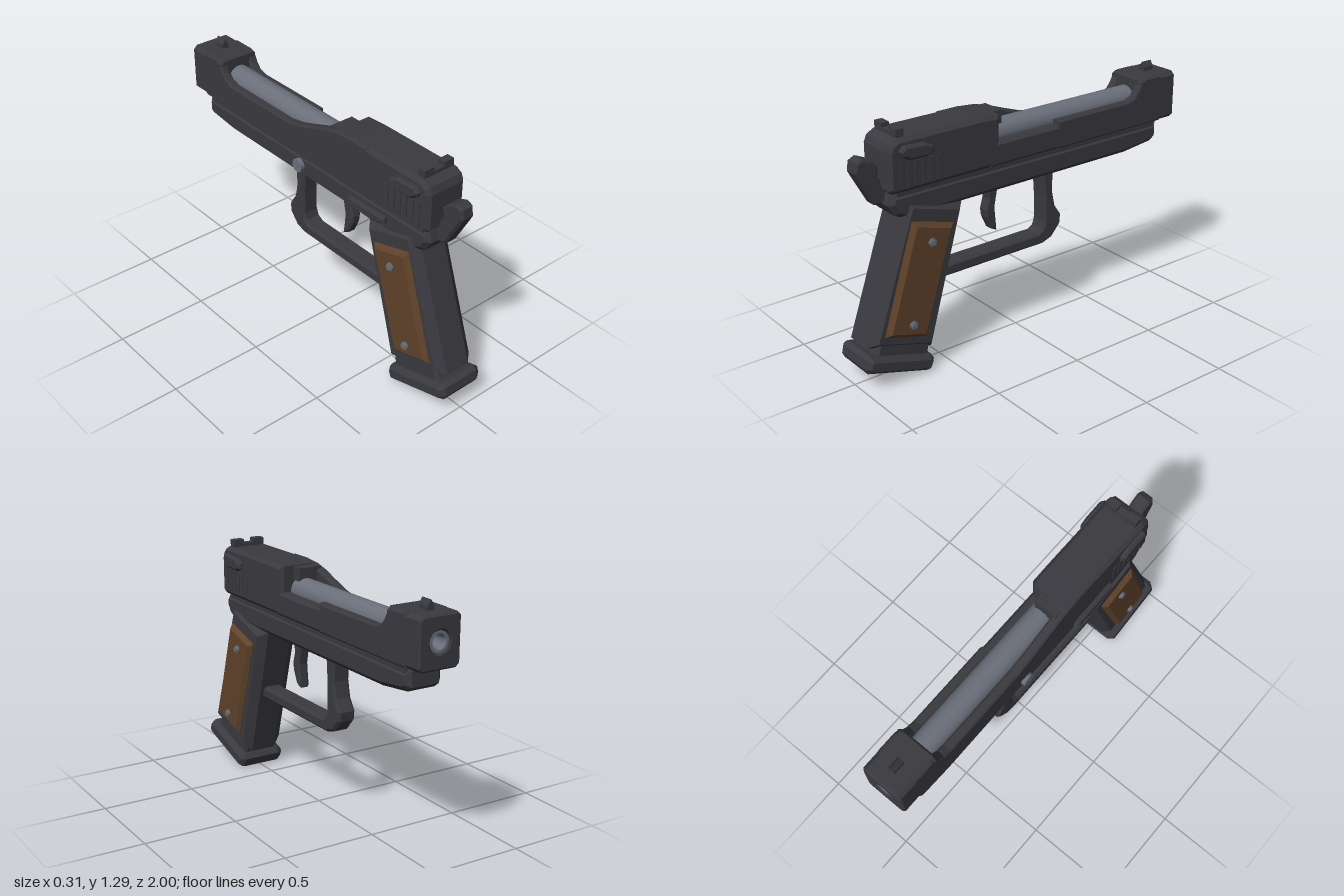
import * as THREE from 'three';

export function createModel() {
  const model = new THREE.Group();
  const mat = (name, color) => {
    const m = new THREE.MeshStandardMaterial({ color });
    m.name = name;
    return m;
  };
  const steel = mat('darkSteel', 0x3a393f);
  const metal = mat('barrelMetal', 0x6a6f7a);
  const wood = mat('gripWood', 0x5f422a);

  function add(name, geometry, material = steel) {
    const mesh = new THREE.Mesh(geometry, material);
    mesh.name = name;
    model.add(mesh);
    return mesh;
  }
  // Side outline of [z, y] points, extruded from x0 to x1 with chamfered edges
  function plate(name, points, x0, x1, bevel = 0.02, material = steel, bevelX = bevel) {
    const shape = new THREE.Shape(points.map(([z, y]) => new THREE.Vector2(z, y)));
    const depth = x1 - x0 - 2 * bevelX;
    const g = new THREE.ExtrudeGeometry(shape, {
      depth, bevelEnabled: bevel > 0, bevelSize: bevel, bevelOffset: -bevel, bevelThickness: bevelX, bevelSegments: 1,
    });
    g.translate(0, 0, -depth / 2).rotateY(-Math.PI / 2).translate((x0 + x1) / 2, 0, 0);
    return add(name, g, material);
  }
  function box(name, x0, x1, y0, y1, z0, z1, material = steel) {
    const g = new THREE.BoxGeometry(x1 - x0, y1 - y0, z1 - z0);
    g.translate((x0 + x1) / 2, (y0 + y1) / 2, (z0 + z1) / 2);
    return add(name, g, material);
  }
  // Round pin lying along x
  function pin(name, r, x0, x1, y, z) {
    const g = new THREE.CylinderGeometry(r, r, x1 - x0, 16);
    g.rotateZ(Math.PI / 2).translate((x0 + x1) / 2, y, z);
    return add(name, g, metal);
  }

  // Slide: rear block, low core, and two walls beside the barrel
  plate('slideRear', [[0.18, 0.98], [0.8, 0.98], [0.82, 1.0], [0.82, 1.19], [0.805, 1.225], [0.765, 1.247],
    [0.3, 1.247], [0.18, 1.24]], -0.115, 0.115);
  plate('slideCore', [[-0.8, 0.98], [0.24, 0.98], [0.24, 1.105], [-0.8, 1.105]], -0.115, 0.115, 0.015);
  const ramp = [[-0.66, 1.13], [-0.705, 1.145], [-0.73, 1.175], [-0.75, 1.215], [-0.78, 1.235], [-0.9, 1.235], [-0.9, 0.98]];
  plate('slideLowWall', [[-0.18, 0.98], [-0.18, 1.13], ...ramp], 0.065, 0.115, 0.01);
  plate('slideHighWall', [[0.4, 0.98], [0.4, 1.247], [0.28, 1.247], [0.18, 1.238], [0.1, 1.218], [0, 1.182],
    [-0.1, 1.148], [-0.19, 1.13], ...ramp], -0.115, -0.065, 0.01);
  box('breechBlock', -0.09, 0.04, 1.0, 1.235, 0.12, 0.25);

  // Muzzle block with a real bore
  const face = new THREE.Shape();
  const c = 0.02;
  [[-0.115 + c, 0.98], [0.115 - c, 0.98], [0.115, 0.98 + c], [0.115, 1.237 - c], [0.115 - c, 1.237],
    [-0.115 + c, 1.237], [-0.115, 1.237 - c], [-0.115, 0.98 + c]]
    .forEach(([x, y], i) => (i ? face.lineTo(x, y) : face.moveTo(x, y)));
  face.closePath();
  face.holes.push(new THREE.Path().absarc(0, 1.11, 0.052, 0, Math.PI * 2, true));
  const block = new THREE.ExtrudeGeometry(face, {
    depth: 0.235, bevelSize: 0.01, bevelOffset: -0.01, bevelThickness: 0.01, bevelSegments: 1, curveSegments: 16,
  });
  block.translate(0, 0, -0.99);
  add('muzzleBlock', block);

  // Barrel and muzzle ring
  const barrel = new THREE.CylinderGeometry(0.066, 0.066, 0.98, 24);
  barrel.rotateX(Math.PI / 2).translate(0, 1.115, -0.33);
  add('barrel', barrel, metal);
  const ring = new THREE.LatheGeometry([[0, 0], [0.032, 0], [0.032, 0.16], [0.038, 0.172], [0.052, 0.172], [0.053, 0]]
    .map(([r, y]) => new THREE.Vector2(r, y)), 24);
  ring.rotateX(-Math.PI / 2).translate(0, 1.11, -0.82);
  const muzzle = add('muzzleRing', ring.toNonIndexed(), metal);
  muzzle.geometry.computeVertexNormals();
  muzzle.material = metal.clone();
  muzzle.material.name = 'muzzleMetal';
  muzzle.material.side = THREE.DoubleSide;

  // Frame below the slide
  box('slideRail', -0.092, 0.092, 0.94, 1.0, -0.87, 0.77);
  plate('frame', [[-0.68, 0.84], [0.73, 0.84], [0.775, 0.86], [0.815, 0.92], [0.8, 0.975], [-0.9, 0.965],
    [-0.9, 0.885], [-0.87, 0.862]], -0.1, 0.1, 0.025);

  // Grip, magazine neck and base
  plate('grip', [[0.72, 0.935], [0.39, 0.838], [0.595, 0.108], [0.965, 0.22]], -0.115, 0.115, 0.035, steel, 0.045);
  plate('magazine', [[0.9, 0.26], [0.61, 0.17], [0.635, 0.05], [0.945, 0.14]], -0.1, 0.1, 0.015);
  plate('magazineBase', [[0.965, 0.19], [0.62, 0.085], [0.603, 0.055], [0.622, 0.008], [0.645, 0], [0.985, 0.102],
    [1, 0.13], [0.99, 0.175]], -0.135, 0.135, 0.022, steel, 0.03);

  // Parts mirrored on both sides
  for (const s of [-1, 1]) {
    const span = (a, b) => (s > 0 ? [a, b] : [-b, -a]);
    plate('gripPanel', [[0.71, 0.83], [0.475, 0.762], [0.65, 0.2], [0.885, 0.27]], ...span(0.08, 0.14), 0.022, wood);
    for (const [z, y] of [[0.615, 0.705], [0.738, 0.3]]) {
      pin('gripScrew', 0.021, ...span(0.13, 0.148), y, z);
      pin('gripScrewHead', 0.015, ...span(0.14, 0.156), y, z);
    }
    plate('safetyCatch', [[0.77, 1.19], [0.745, 1.215], [0.63, 1.208], [0.582, 1.185], [0.58, 1.155], [0.62, 1.138],
      [0.72, 1.142], [0.755, 1.162]], ...span(0.1, 0.141), 0.012);
    for (let i = 0; i < 6; i++) {
      const z = 0.535 + i * 0.042;
      box('slideSerration', ...span(0.11, 0.12), 1.01, 1.13, z, z + 0.024);
    }
  }

  // Slide stop lever and takedown button on one side
  plate('slideStop', [[0.26, 0.885], [0.28, 0.925], [0.54, 0.93], [0.54, 0.9], [0.45, 0.875]], -0.125, -0.09, 0.008);
  pin('takedownButton', 0.036, -0.122, -0.08, 0.91, -0.11);

  // Trigger guard
  plate('triggerGuard', [[-0.14, 0.86], [-0.152, 0.7], [-0.152, 0.56], [-0.14, 0.525], [-0.11, 0.508], [0.53, 0.508],
    [0.53, 0.442], [-0.15, 0.442], [-0.21, 0.462], [-0.265, 0.525], [-0.27, 0.575], [-0.23, 0.635], [-0.212, 0.72],
    [-0.215, 0.86]], -0.05, 0.05, 0.013);
  plate('trigger', [[0.205, 0.86], [0.195, 0.78], [0.212, 0.72], [0.207, 0.68], [0.175, 0.61], [0.14, 0.593],
    [0.145, 0.65], [0.152, 0.72], [0.125, 0.86]], -0.03, 0.03, 0.01);

  // Hammer
  plate('hammer', [[0.915, 1.167], [0.95, 1.15], [0.956, 1.1], [0.935, 1.06], [0.86, 0.925], [0.825, 0.912],
    [0.79, 0.94], [0.8, 1.0], [0.835, 1.06], [0.825, 1.105], [0.865, 1.145]], -0.04, 0.04, 0.012);

  // Sights
  box('rearSightBase', -0.09, 0.09, 1.23, 1.265, 0.72, 0.762);
  for (const s of [-1, 1]) box('rearSightPost', s * 0.06 - 0.03, s * 0.06 + 0.03, 1.24, 1.286, 0.72, 0.762);
  const blade = new THREE.Shape([[-0.018, 1.22], [0.018, 1.22], [0.018, 1.258], [0, 1.286], [-0.018, 1.258]]
    .map(([x, y]) => new THREE.Vector2(x, y)));
  const sight = new THREE.ExtrudeGeometry(blade, { depth: 0.065, bevelEnabled: false });
  sight.translate(0, 0, -0.925);
  add('frontSight', sight);

  return model;
}
